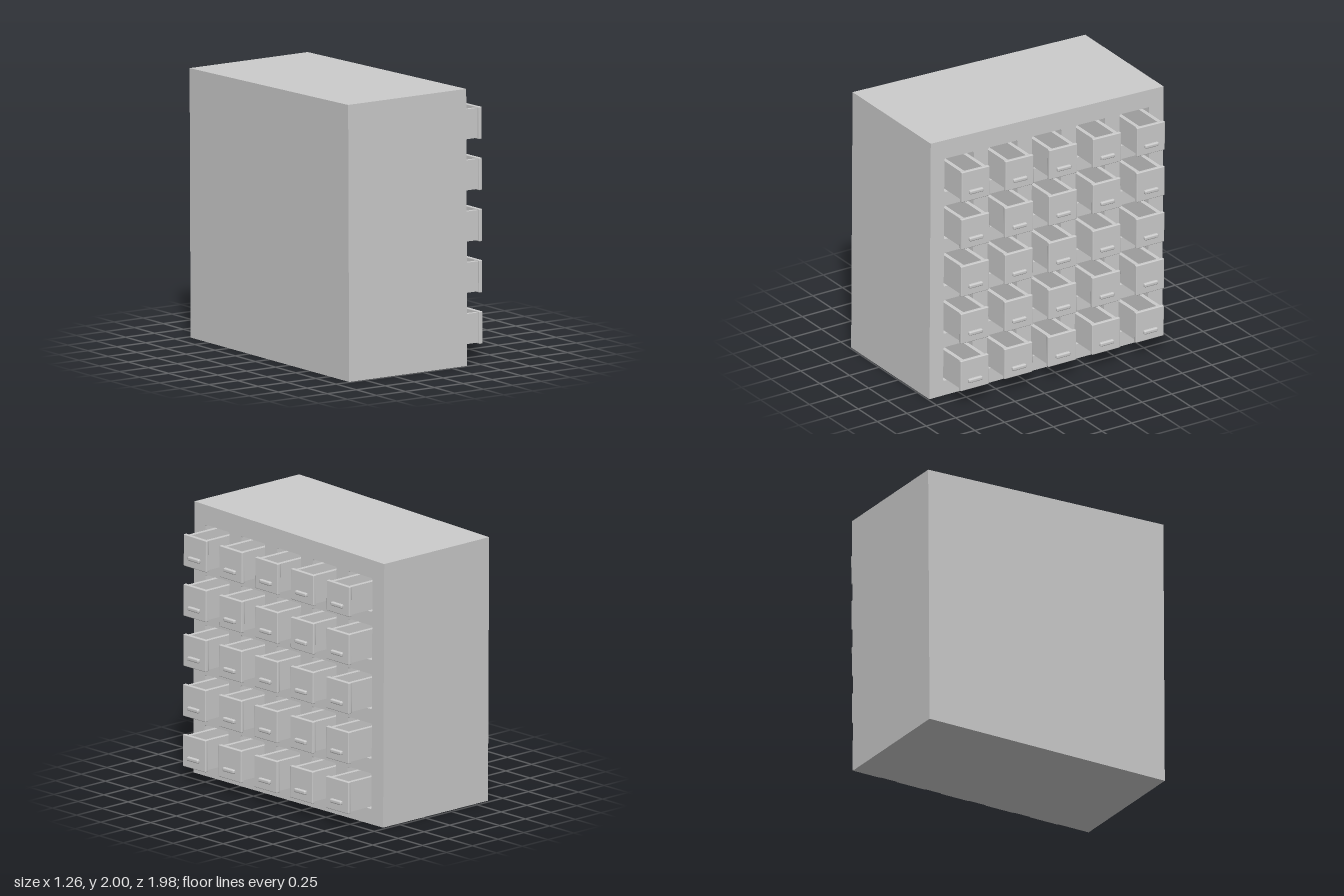
import * as THREE from 'three';
import { RoundedBoxGeometry } from 'three/addons/geometries/RoundedBoxGeometry.js';

const material = new THREE.MeshStandardMaterial({ color: 0xcccccc });
const PITCH = 0.37, COUNT = 5;
const FACE = 0.39, BACK = -0.63, POCKET = -0.26;

// The cabinet sags slightly towards its rear top corner
function sag(geometry) {
  const p = geometry.attributes.position;
  for (let i = 0; i < p.count; i++) {
    const y = p.getY(i), z = p.getZ(i);
    const drop = 0.055 * (0.99 - z) / 1.97 * Math.pow(y / 2, 3);
    p.setXYZ(i, p.getX(i), y - drop, z - 0.006 * y);
  }
  return geometry;
}

function addMesh(parent, name, geometry) {
  const mesh = new THREE.Mesh(sag(geometry), material);
  mesh.name = name;
  parent.add(mesh);
}

// Box from its minimum and maximum corners, optionally rounded
function span(x0, x1, y0, y1, z0, z1, radius = 0) {
  const size = [x1 - x0, y1 - y0, z1 - z0];
  const g = radius ? new RoundedBoxGeometry(...size, 2, radius) : new THREE.BoxGeometry(...size);
  return g.translate((x0 + x1) / 2, (y0 + y1) / 2, (z0 + z1) / 2);
}

function roundedHole(cx, y0, y1, half, r) {
  const x0 = cx - half, x1 = cx + half;
  const h = new THREE.Path();
  h.moveTo(x0 + r, y0);
  h.lineTo(x1 - r, y0);
  h.quadraticCurveTo(x1, y0, x1, y0 + r);
  h.lineTo(x1, y1 - r);
  h.quadraticCurveTo(x1, y1, x1 - r, y1);
  h.lineTo(x0 + r, y1);
  h.quadraticCurveTo(x0, y1, x0, y1 - r);
  h.lineTo(x0, y0 + r);
  h.quadraticCurveTo(x0, y0, x0 + r, y0);
  return h;
}

// Open-topped drawer, pulled out of its opening
function makeDrawer(y, z) {
  const drawer = new THREE.Group();
  drawer.name = 'drawer';
  const rear = -0.18, front = 0.585, bottom = y + 0.125, top = y + 0.342;
  const half = 0.105, wall = 0.03;
  addMesh(drawer, 'drawerFloor', span(rear, front, bottom, bottom + 0.025, z - half, z + half));
  for (const s of [-1, 1]) {
    const a = z + s * half, b = z + s * (half - wall);
    addMesh(drawer, 'drawerSide', span(rear, front, bottom, top, Math.min(a, b), Math.max(a, b)));
  }
  addMesh(drawer, 'drawerBack', span(rear, rear + wall, bottom, top, z - half + wall, z + half - wall));
  addMesh(drawer, 'drawerFront', span(0.582, 0.61, y + 0.115, y + 0.35, z - 0.118, z + 0.118, 0.006));
  addMesh(drawer, 'handle', span(0.6, 0.63, y + 0.17, y + 0.2, z - 0.058, z + 0.058, 0.01));
  return drawer;
}

export function createModel() {
  const model = new THREE.Group();
  model.name = 'drawerCabinet';

  // Front part of the cabinet, drawn in (-z, y), pierced by the drawer openings
  const outline = new THREE.Shape();
  outline.moveTo(-0.99, 0);
  outline.lineTo(0.975, 0);
  outline.lineTo(0.975, 2);
  outline.lineTo(-0.99, 2);
  outline.closePath();

  const drawers = new THREE.Group();
  drawers.name = 'drawers';
  for (let row = 0; row < COUNT; row++) {
    for (let col = 0; col < COUNT; col++) {
      const y = row * PITCH, z = 0.01 + (col - 2) * PITCH;
      outline.holes.push(roundedHole(-z, y + 0.112, y + 0.375, 0.124, 0.012));
      drawers.add(makeDrawer(y, z));
    }
  }
  const body = new THREE.ExtrudeGeometry(outline, { depth: FACE - POCKET, bevelEnabled: false, curveSegments: 3 });
  body.rotateY(Math.PI / 2).translate(POCKET, 0, 0);
  addMesh(model, 'cabinetFront', body);

  // Solid rear part closes the openings
  addMesh(model, 'cabinetRear', span(BACK, POCKET, 0, 2, -0.975, 0.99));

  model.add(drawers);
  return model;
}
